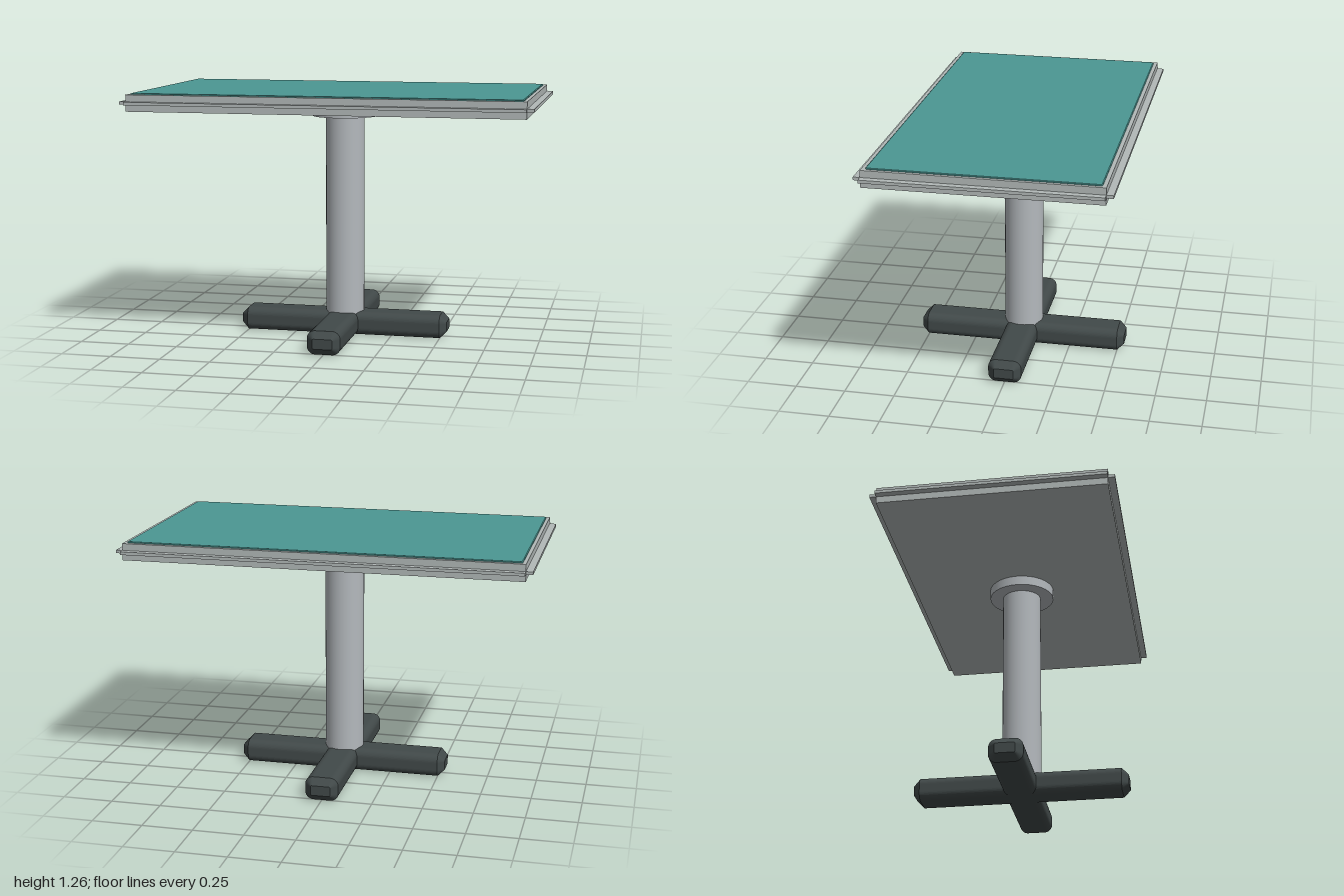
import * as THREE from 'three';

const mat = (name, color) => {
  const m = new THREE.MeshStandardMaterial({ color });
  m.name = name;
  return m;
};

function roundedRect(w, h, r, arc = true) {
  const s = new THREE.Shape();
  const x = w / 2, y = h / 2;
  const corners = [[x - r, y - r, 0], [r - x, y - r, 1], [r - x, r - y, 2], [x - r, r - y, 3]];
  for (const [cx, cy, q] of corners) s.absarc(cx, cy, r, q * Math.PI / 2, (q + 1) * Math.PI / 2, false);
  return s;
}

export function createModel() {
  const group = new THREE.Group();
  const steel = mat('brushed steel', 0xb4b9bd);
  const trim = mat('edge trim grey', 0xb2b9b8);
  const teal = mat('teal surface', 0x4b9793);
  const dark = mat('dark base', 0x414949);

  const add = (name, geometry, material, x, y, z) => {
    const mesh = new THREE.Mesh(geometry, material);
    mesh.name = name;
    mesh.position.set(x, y, z);
    group.add(mesh);
    return mesh;
  };

  // Crossed feet: rounded bars with chamfered ends
  const chamfer = 0.034, length = 1.07;
  const footGeometry = new THREE.ExtrudeGeometry(roundedRect(0.166, 0.118, 0.04), {
    depth: length - 2 * chamfer, curveSegments: 5,
    bevelEnabled: true, bevelSegments: 1, bevelThickness: chamfer,
    bevelSize: chamfer, bevelOffset: -chamfer,
  });
  footGeometry.translate(0, 0, -length / 2 + chamfer);
  add('footBarLengthwise', footGeometry, dark, 0, 0.06, 0);
  add('footBarCrosswise', footGeometry, dark, 0, 0.06, 0).rotation.y = Math.PI / 2;

  // Column and mounting flange
  add('column', new THREE.CylinderGeometry(0.098, 0.098, 1.02, 32), steel, 0, 0.62, 0);
  add('mountingFlange', new THREE.CylinderGeometry(0.165, 0.165, 0.05, 32), steel, 0, 1.145, 0);

  // Table slab
  add('tableSlab', new THREE.BoxGeometry(1.934, 0.082, 1.104), trim, 0, 1.21, 0);

  // Projecting rails on all four edges, open at the corners
  for (const s of [-1, 1]) {
    add('longRail', new THREE.BoxGeometry(1.934, 0.015, 0.033), trim, 0, 1.21, s * 0.5685);
    add('shortRail', new THREE.BoxGeometry(0.033, 0.015, 1.104), trim, s * 0.9835, 1.21, 0);
  }

  // Inlaid work surface with softened edge
  const topGeometry = new THREE.ExtrudeGeometry(roundedRect(1.9, 1.066, 0.012), {
    depth: 0.006, curveSegments: 4,
    bevelEnabled: true, bevelSegments: 1, bevelThickness: 0.003, bevelSize: 0.004, bevelOffset: -0.004,
  });
  topGeometry.rotateX(-Math.PI / 2);
  add('workSurface', topGeometry, teal, 0, 1.248, 0);

  return group;
}
